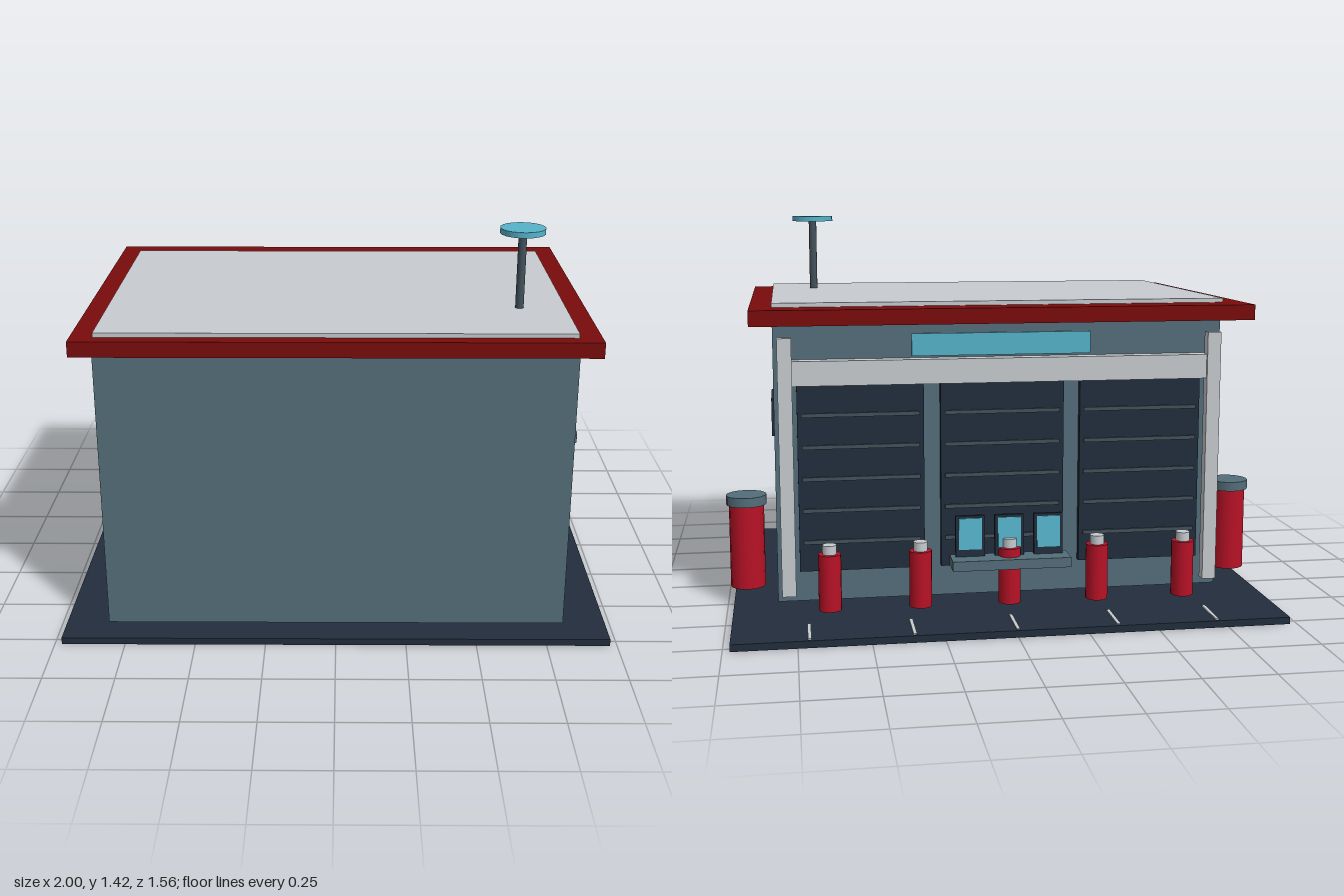
import * as THREE from 'three';

const mat = (name, color) => {
  const m = new THREE.MeshStandardMaterial({ color });
  m.name = name;
  return m;
};

export function createModel() {
  const root = new THREE.Group();
  root.name = 'garageStation';

  const wall = mat('blue grey wall', 0x546e7a);
  const dark = mat('dark navy', 0x222d3c);
  const trim = mat('dark red trim', 0x7a0c0c);
  const red = mat('bright red', 0xb81226);
  const light = mat('light grey', 0xc8ccd0);
  const cyan = mat('cyan', 0x56b4cb);
  const steel = mat('dark steel', 0x43525b);

  // Box given by its minimum and maximum on each axis
  const box = (name, m, [x0, x1], [y0, y1], [z0, z1], parent = root) => {
    const mesh = new THREE.Mesh(new THREE.BoxGeometry(x1 - x0, y1 - y0, z1 - z0), m);
    mesh.position.set((x0 + x1) / 2, (y0 + y1) / 2, (z0 + z1) / 2);
    mesh.name = name;
    parent.add(mesh);
    return mesh;
  };
  // Upright cylinder from y0 to y1
  const post = (name, m, r, x, z, y0, y1, parent = root, sides = 16) => {
    const mesh = new THREE.Mesh(new THREE.CylinderGeometry(r, r, y1 - y0, sides), m);
    mesh.position.set(x, (y0 + y1) / 2, z);
    mesh.name = name;
    parent.add(mesh);
    return mesh;
  };

  // Ground slab, building and roof
  box('groundSlab', dark, [-0.975, 0.975], [0, 0.025], [-0.78, 0.78]);
  box('building', wall, [-0.815, 0.815], [0.05, 1.06], [-0.405, 0.71]);
  box('roofSlab', trim, [-0.893, 0.893], [1.06, 1.115], [-0.557, 0.725]);
  box('roofPanel', light, [-0.815, 0.815], [1.115, 1.13], [-0.43, 0.675]);

  // Roof antenna
  const antenna = new THREE.Group();
  antenna.name = 'antenna';
  post('antennaPole', steel, 0.015, 0.65, 0.37, 1.13, 1.4, antenna);
  post('antennaDish', cyan, 0.08, 0.65, 0.37, 1.4, 1.42, antenna, 20);
  root.add(antenna);

  // Parts mirrored on both sides
  for (const s of [-1, 1]) {
    const span = (a, b) => (s > 0 ? [a, b] : [-b, -a]);
    box('sideWindow', dark, span(0.81, 0.828), [0.585, 0.73], [0, 0.265]);
    box('doorwayPost', light, span(0.75, 0.8), [0.085, 1.01], [-0.47, -0.43]);
    const barrel = new THREE.Group();
    barrel.name = 'barrel';
    post('barrelBody', red, 0.064, s * 0.925, -0.225, 0.065, 0.375, barrel);
    post('barrelLid', wall, 0.074, s * 0.925, -0.225, 0.375, 0.41, barrel);
    root.add(barrel);
  }

  // Beam and sign board over the doors
  box('doorwayBeam', light, [-0.78, 0.78], [0.84, 0.928], [-0.46, -0.405]);
  box('signBoard', cyan, [-0.325, 0.325], [0.935, 1.015], [-0.414, -0.405]);

  // Three shutter doors with slats
  for (const x of [-0.51, 0, 0.51]) {
    const door = new THREE.Group();
    door.name = 'shutterDoor';
    box('doorPanel', dark, [x - 0.225, x + 0.225], [0.165, 0.84], [-0.43, -0.405], door);
    for (let i = 0; i < 5; i++) {
      const y = 0.265 + i * 0.115;
      box('doorSlat', steel, [x - 0.21, x + 0.21], [y, y + 0.014], [-0.436, -0.43], door);
    }
    root.add(door);
  }

  // Bollards and parking lines
  for (let i = -2; i <= 2; i++) {
    const bollard = new THREE.Group();
    bollard.name = 'bollard';
    post('bollardBody', red, 0.04, i * 0.317, -0.587, 0.07, 0.27, bollard);
    post('bollardCap', light, 0.025, i * 0.317, -0.587, 0.27, 0.302, bollard);
    root.add(bollard);
    const x = i * 0.355;
    box('parkingLine', light, [x - 0.006, x + 0.006], [0.025, 0.03], [-0.77, -0.61]);
  }

  // Control console with three tilted monitors
  box('consoleDesk', wall, [-0.21, 0.21], [0.205, 0.24], [-0.653, -0.555]);
  for (const x of [-0.14, 0, 0.14]) {
    const monitor = new THREE.Group();
    monitor.name = 'monitor';
    monitor.position.set(x, 0.3, -0.577);
    monitor.rotation.x = 0.06;
    box('monitorCase', dark, [-0.052, 0.052], [-0.085, 0.085], [-0.009, 0.009], monitor);
    box('monitorScreen', cyan, [-0.041, 0.041], [-0.035, 0.076], [-0.013, -0.009], monitor);
    root.add(monitor);
  }

  return root;
}
